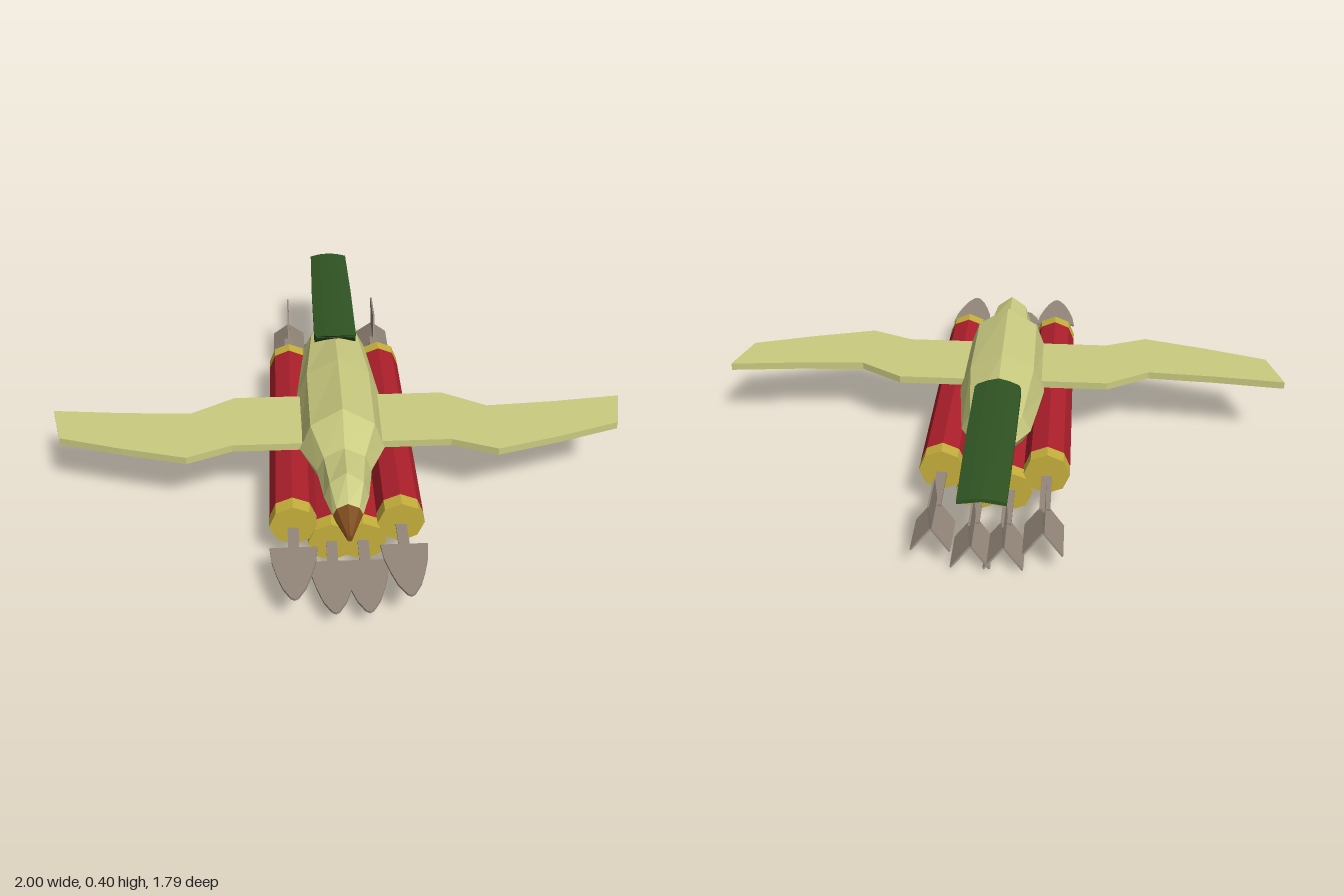
import * as THREE from 'three';

const mat = (name, color) => {
  const m = new THREE.MeshStandardMaterial({ color });
  m.name = name;
  return m;
};

// Split the faces so that every facet is flat
const flat = (geo) => {
  const g = geo.index ? geo.toNonIndexed() : geo;
  g.computeVertexNormals();
  return g;
};

// Skin closed rings of [x, y, z] (counter-clockwise from the front, ordered rear to front)
function loft(rings) {
  const n = rings[0].length, pos = [];
  const tri = (...pts) => pts.forEach((p) => pos.push(...p));
  for (let i = 0; i < rings.length - 1; i++) {
    for (let j = 0; j < n; j++) {
      const k = (j + 1) % n;
      const a = rings[i][j], b = rings[i][k], c = rings[i + 1][k], d = rings[i + 1][j];
      tri(a, b, c);
      tri(a, c, d);
    }
  }
  const mid = (r) => [0, 1, 2].map((q) => r.reduce((s, p) => s + p[q], 0) / n);
  const rear = rings[0], front = rings[rings.length - 1];
  for (let j = 0; j < n; j++) {
    const k = (j + 1) % n;
    tri(mid(rear), rear[k], rear[j]);
    tri(mid(front), front[j], front[k]);
  }
  const g = new THREE.BufferGeometry();
  g.setAttribute('position', new THREE.Float32BufferAttribute(pos, 3));
  return flat(g);
}

// Horizontal plate from an [x, z] outline, centred on y = 0
function plate(points, depth) {
  const shape = new THREE.Shape(points.map(([x, z]) => new THREE.Vector2(x, -z)));
  return new THREE.ExtrudeGeometry(shape, { depth, bevelEnabled: false })
    .translate(0, 0, -depth / 2).rotateX(-Math.PI / 2);
}

// Eight-sided body section: z, half width, top, middle and bottom heights
const section = ([z, w, top, mid, bot]) => {
  const up = mid + (top - mid) * 0.6, low = mid + (bot - mid) * 0.7;
  return [[w, mid, z], [w * 0.75, up, z], [0, top, z], [-w * 0.75, up, z],
    [-w, mid, z], [-w * 0.75, low, z], [0, bot, z], [w * 0.75, low, z]];
};

export function createModel() {
  const model = new THREE.Group();
  const cream = mat('pale olive', 0xcacb80);
  const red = mat('red', 0xac1f2b);
  const yellow = mat('mustard', 0xc6b03c);
  const grey = mat('warm grey', 0x94877a);
  const green = mat('dark green', 0x2f5322);
  const brown = mat('brown', 0x7d4a1a);
  const add = (parent, name, geo, material, x = 0, y = 0, z = 0) => {
    const m = new THREE.Mesh(geo, material);
    m.name = name;
    m.position.set(x, y, z);
    parent.add(m);
    return m;
  };

  // Faceted bird body and beak
  add(model, 'body', loft([
    [-0.465, 0.065, 0.325, 0.285, 0.25],
    [-0.34, 0.115, 0.355, 0.26, 0.2],
    [-0.05, 0.148, 0.387, 0.238, 0.155],
    [0.28, 0.143, 0.4, 0.238, 0.15],
    [0.4, 0.09, 0.328, 0.235, 0.15],
    [0.53, 0.072, 0.328, 0.23, 0.16],
    [0.61, 0.048, 0.267, 0.223, 0.178],
  ].map(section)), cream);
  add(model, 'beak', loft([
    [0.61, 0.048, 0.267, 0.223, 0.178],
    [0.71, 0.009, 0.225, 0.213, 0.2],
  ].map(section)), brown);

  // Both wings as one swept plate
  const half = [[0.37, -0.01], [0.52, 0.08], [0.76, 0.065], [1, 0.04], [0.955, 0.205],
    [0.74, 0.275], [0.52, 0.337], [0.37, 0.275]];
  const mirrored = half.map(([x, z]) => [-x, z]).reverse();
  add(model, 'wings', plate([...half, ...mirrored], 0.026), cream, 0, 0.247);

  // Arched tail: z at centre, z setback at the edges, half width, top, bottom
  const tailRing = ([z, back, w, top, bot]) => {
    const arc = [1, 0.5, 0, -0.5, -1];
    const pt = (t, y) => [t * w, y - 0.012 * t * t, z - back * Math.abs(t)];
    return [...arc.map((t) => pt(t, top)),
      ...arc.slice().reverse().map((t) => pt(t, bot))];
  };
  add(model, 'tail', loft([
    [-0.895, 0, 0.072, 0.384, 0.374],
    [-0.57, 0, 0.077, 0.384, 0.372],
    [-0.255, 0, 0.077, 0.384, 0.348],
    [-0.215, 0.02, 0.07, 0.384, 0.376],
  ].map(tailRing)), green);

  // Launch tubes, each carrying an arrow
  const tube = (len) => flat(new THREE.CylinderGeometry(0.076, 0.076, len, 8).rotateX(Math.PI / 2));
  const tubeGeo = tube(0.9), capGeo = tube(0.05);
  const side = [[0.075, 0.665], [0.068, 0.73], [0.053, 0.79], [0.035, 0.845], [0.012, 0.885]];
  const headGeo = plate([...side, [0, 0.892],
    ...side.map(([x, z]) => [-x, z]).reverse()], 0.008);
  const fin = (r) => plate([[0, -0.575], [r, -0.61], [r, -0.76], [0, -0.73]], 0.006);
  const upperFin = fin(0.103), lowerFin = fin(0.086);
  const shaftGeo = new THREE.BoxGeometry(0.035, 0.008, 1.32);

  for (const [x, tubeY, arrowY] of [[0.173, 0.151, 0.141], [0.051, 0.076, 0.079]]) {
    for (const s of [1, -1]) {
      const launcher = new THREE.Group();
      launcher.name = 'launcher';
      launcher.position.x = s * x;
      model.add(launcher);
      add(launcher, 'tube', tubeGeo, red, 0, tubeY, 0.07);
      add(launcher, 'frontBand', capGeo, yellow, 0, tubeY, 0.545);
      add(launcher, 'rearBand', capGeo, yellow, 0, tubeY, -0.405);
      add(launcher, 'arrowShaft', shaftGeo, grey, 0, arrowY, 0.05);
      add(launcher, 'arrowHead', headGeo, grey, 0, arrowY);
      add(launcher, 'upperFin', upperFin, grey, 0, arrowY).rotation.z = Math.PI / 2;
      for (const a of [-0.25, -0.75]) {
        add(launcher, 'lowerFin', lowerFin, grey, 0, arrowY).rotation.z = a * Math.PI;
      }
    }
  }
  return model;
}
